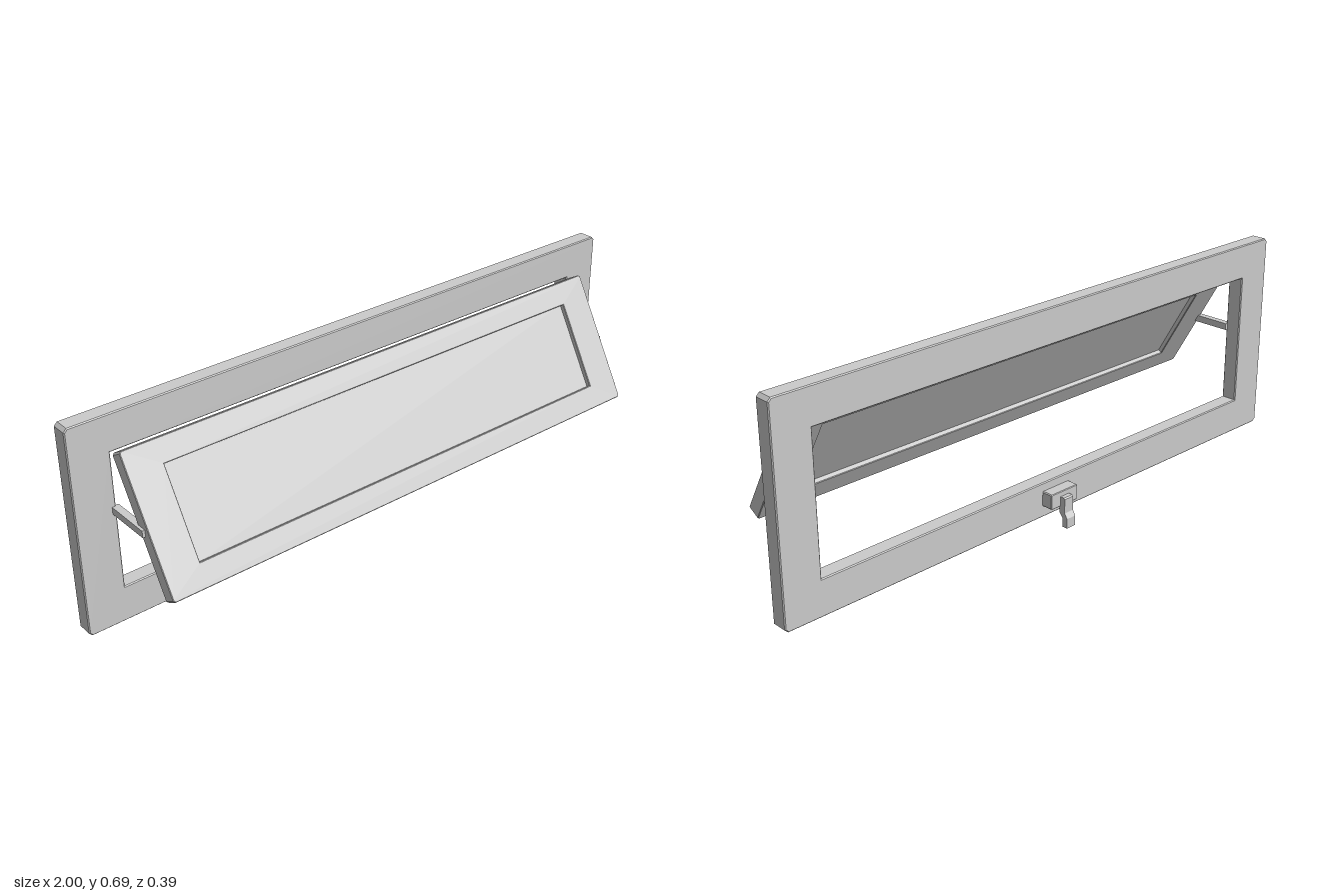
import * as THREE from 'three';

const material = new THREE.MeshStandardMaterial({ color: 0xcccccc, flatShading: true });

function part(name, geometry, parent, x = 0, y = 0, z = 0) {
  const mesh = new THREE.Mesh(geometry, material);
  mesh.name = name;
  mesh.position.set(x, y, z);
  parent.add(mesh);
  return mesh;
}

// Rectangle with clipped corners, centred on (0, cy)
function clippedRect(w, h, c, cy = 0) {
  const x = w / 2, y = h / 2;
  return [[-x + c, -y], [x - c, -y], [x, -y + c], [x, y - c], [x - c, y], [-x + c, y], [-x, y - c], [-x, -y + c]]
    .map(([px, py]) => new THREE.Vector2(px, py + cy));
}

// Extruded outline, centred in depth, with slightly chamfered edges
function slab(outline, depth, bevel, hole) {
  const shape = new THREE.Shape(outline);
  if (hole) shape.holes.push(new THREE.Path(hole));
  const geometry = new THREE.ExtrudeGeometry(shape, {
    depth: depth - 2 * bevel, bevelEnabled: bevel > 0, bevelThickness: bevel,
    bevelSize: bevel, bevelOffset: -bevel, bevelSegments: 1,
  });
  return geometry.translate(0, 0, bevel - depth / 2);
}

function rectHole(w, h, cy = 0) {
  const x = w / 2, y = h / 2;
  return [[-x, cy - y], [-x, cy + y], [x, cy + y], [x, cy - y]].map((p) => new THREE.Vector2(...p));
}

export function createModel() {
  const model = new THREE.Group();
  model.name = 'awningWindow';

  // Fixed outer frame
  part('outerFrame', slab(clippedRect(2, 0.664, 0.01), 0.053, 0.003, rectHole(1.75, 0.435)), model, 0, 0.36, -0.0995);

  // Tilted sash with a panel recessed on both sides
  const sash = new THREE.Group();
  sash.name = 'sash';
  sash.position.set(0, 0.41, 0.068);
  sash.rotation.x = -Math.PI / 6;
  model.add(sash);
  part('sashFrame', slab(clippedRect(1.758, 0.425, 0.006), 0.045, 0.002, rectHole(1.536, 0.28)), sash);
  part('panel', new THREE.BoxGeometry(1.54, 0.284, 0.015), sash);

  // Stay arms between frame and sash
  for (const [name, x] of [['leftArm', 0.883], ['rightArm', -0.876]]) {
    part(name, new THREE.BoxGeometry(0.023, 0.022, 0.155), model, x, 0.399, -0.0005);
  }

  // Latch on the back of the bottom rail
  const latch = new THREE.Group();
  latch.name = 'latch';
  model.add(latch);
  part('latchBase', slab(clippedRect(0.112, 0.05, 0.003), 0.04, 0.002), latch, 0, 0.09, -0.145);

  // Cranked lever, profile given as (distance behind centre, height)
  const profile = [[0.162, 0.098], [0.162, 0.044], [0.175, 0.028], [0.175, 0],
    [0.193, 0], [0.193, 0.032], [0.183, 0.048], [0.183, 0.094], [0.179, 0.098]];
  const lever = slab(profile.map((p) => new THREE.Vector2(...p)), 0.036, 0);
  part('latchLever', lever.rotateY(Math.PI / 2), latch);

  return model;
}
